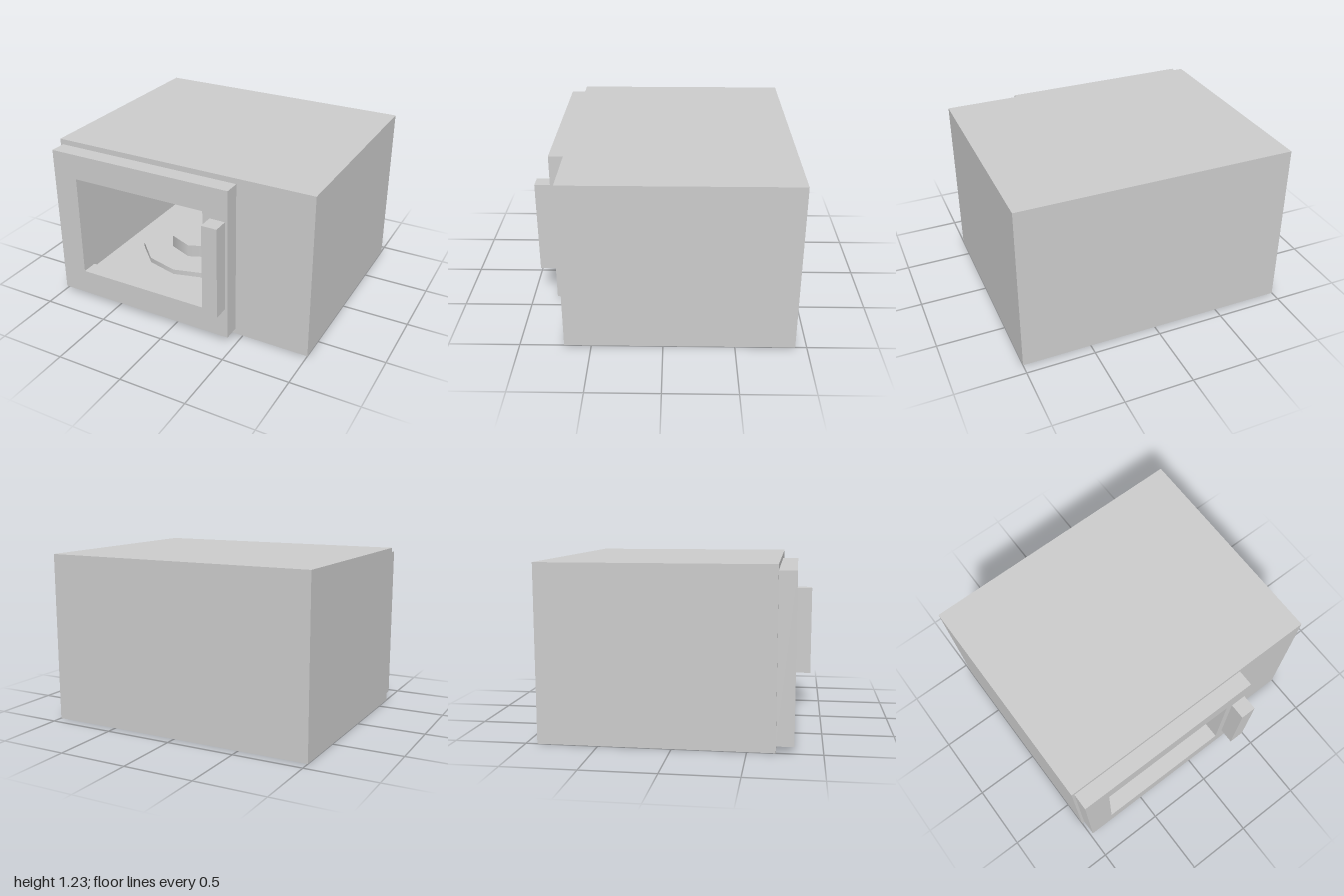
import * as THREE from 'three';

const material = new THREE.MeshStandardMaterial({ color: 0xcccccc });

function add(group, name, geometry) {
  const mesh = new THREE.Mesh(geometry, material);
  mesh.name = name;
  group.add(mesh);
  return mesh;
}

// Box given by its minimum and maximum corners
function box(group, name, [x0, y0, z0], [x1, y1, z1]) {
  const mesh = add(group, name, new THREE.BoxGeometry(x1 - x0, y1 - y0, z1 - z0));
  mesh.position.set((x0 + x1) / 2, (y0 + y1) / 2, (z0 + z1) / 2);
}

function rect(target, x0, y0, x1, y1) {
  return target.moveTo(x0, y0).lineTo(x1, y0).lineTo(x1, y1).lineTo(x0, y1).closePath();
}

// Rectangular frame extruded along z; outer and inner are [x0, y0, x1, y1]
function frame(group, name, outer, inner, z0, z1) {
  const shape = rect(new THREE.Shape(), ...outer);
  shape.holes.push(rect(new THREE.Path(), ...inner));
  const geometry = new THREE.ExtrudeGeometry(shape, { depth: z1 - z0, bevelEnabled: false });
  add(group, name, geometry).position.z = z0;
}

// Upright disc standing on y0 at the middle of the cavity
function disc(group, name, radius, y0, y1, sides) {
  const mesh = add(group, name, new THREE.CylinderGeometry(radius, radius, y1 - y0, sides));
  mesh.position.set(-0.27, (y0 + y1) / 2, -0.12);
}

export function createModel() {
  const model = new THREE.Group();
  model.name = 'microwaveOven';

  // Hollow cooking compartment, open at the front
  frame(model, 'cavityShell', [-1, 0, 0.46, 1.23], [-0.96, 0.045, 0.42, 1.18], -0.88, 0.69);
  box(model, 'backWall', [-1, 0, -0.92], [0.46, 1.23, -0.88]);

  // Control housing beside the compartment
  box(model, 'controlHousing', [0.46, 0, -0.92], [1, 1.23, 0.69]);

  // Door with an open window, and its handle
  frame(model, 'door', [-0.98, 0.04, 0.44, 1.19], [-0.79, 0.23, 0.25, 1.0], 0.69, 0.81);
  box(model, 'doorHandle', [0.305, 0.275, 0.81], [0.42, 0.96, 0.925]);

  // Turntable: spindle, plate and the raised dish on top
  disc(model, 'turntableSpindle', 0.1, 0.045, 0.12, 8);
  disc(model, 'turntablePlate', 0.5, 0.12, 0.16, 12);
  disc(model, 'turntableDish', 0.27, 0.16, 0.26, 8);

  return model;
}
